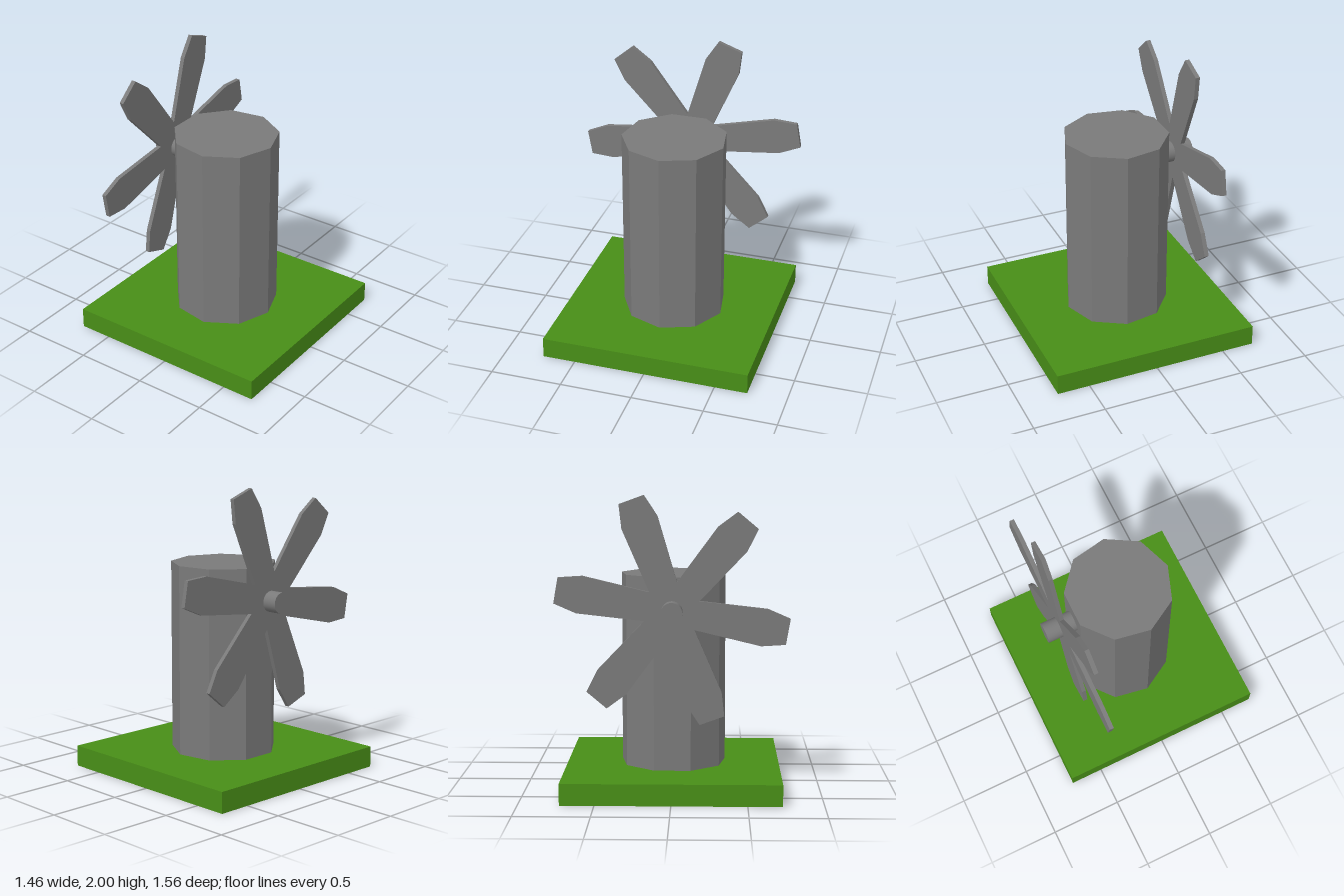
import * as THREE from 'three';

const grey = new THREE.MeshStandardMaterial({ color: 0x7a7a7a, flatShading: true });
const smoothGrey = new THREE.MeshStandardMaterial({ color: 0x7a7a7a });
const green = new THREE.MeshStandardMaterial({ color: 0x488e17, flatShading: true });

const HUB_Y = 1.241;

function addPart(group, name, geometry, material, x, y, z) {
  const mesh = new THREE.Mesh(geometry, material);
  mesh.name = name;
  mesh.position.set(x, y, z);
  group.add(mesh);
}

// One closed outline for all blades: notch, shoulder, tip, tip, shoulder, repeated
function bladeWheelGeometry(count, startAngle, depth) {
  const blade = [[0.168, -0.097], [0.619, -0.125], [0.777, -0.087], [0.777, 0.087], [0.619, 0.125]];
  const points = [];
  for (let i = 0; i < count; i++) {
    const angle = startAngle + (i * Math.PI * 2) / count;
    for (const [r, w] of blade) {
      points.push(new THREE.Vector2(r, w).rotateAround(new THREE.Vector2(), angle));
    }
  }
  const geometry = new THREE.ExtrudeGeometry(new THREE.Shape(points), { depth, bevelEnabled: false });
  geometry.translate(0, 0, -depth / 2);
  geometry.rotateY(-Math.PI / 2); // wheel faces the -x side
  return geometry;
}

export function createModel() {
  const group = new THREE.Group();
  group.name = 'windmill';

  // Square grass base
  addPart(group, 'base', new THREE.BoxGeometry(1.456, 0.145, 1.456), green, 0, 0.0725, 0);

  // Nine-sided tower with one corner pointing along +x
  const tower = new THREE.CylinderGeometry(0.363, 0.363, 1.31, 9, 1, false, Math.PI / 2);
  addPart(group, 'tower', tower, grey, 0, 0.8, 0);

  // Round axle sticking out of the tower
  const axle = new THREE.CylinderGeometry(0.071, 0.071, 0.25, 32);
  axle.rotateZ(Math.PI / 2);
  addPart(group, 'axle', axle, smoothGrey, -0.425, HUB_Y - 0.004, 0);

  // Six flat blades joined at the hub
  const wheel = bladeWheelGeometry(6, THREE.MathUtils.degToRad(50), 0.03);
  addPart(group, 'bladeWheel', wheel, grey, -0.431, HUB_Y, 0);

  return group;
}
